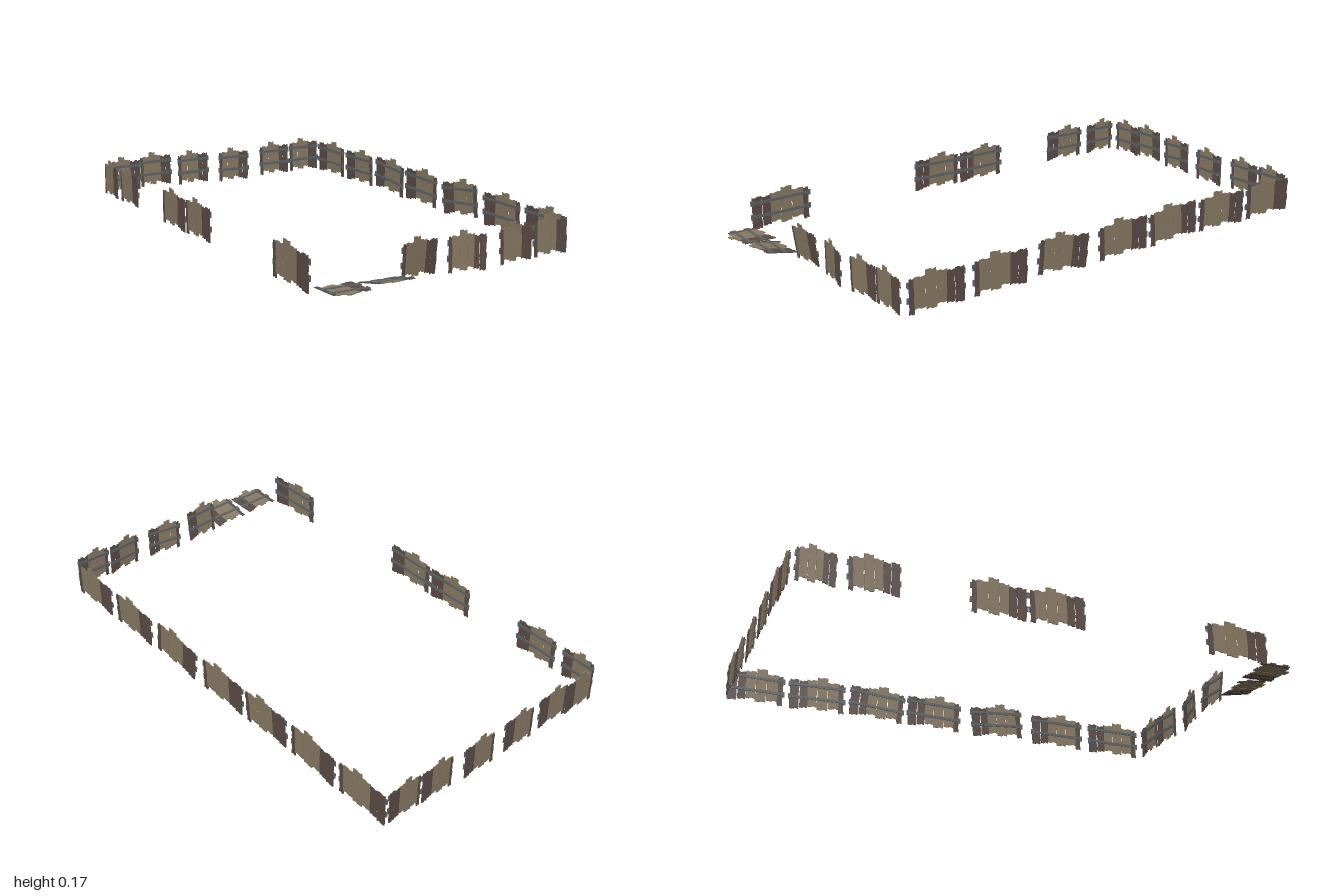
import * as THREE from 'three';

const mat = (color) => new THREE.MeshStandardMaterial({ color, flatShading: true });

// seeded wobble for the worn plank edges
let seed = 7;
const wobble = (a) => {
  seed = (seed * 16807) % 2147483647;
  return (seed / 2147483647 - 0.5) * 2 * a;
};

// planks of one panel: left, right, bottom, top, dark?
const PLANKS = [
  [-0.073, -0.059, 0.010, 0.140, true],
  [-0.061, -0.030, 0.026, 0.143, false],
  [-0.029, -0.001, 0.016, 0.161, false],
  [0.000, 0.026, 0.026, 0.146, false],
  [0.026, 0.047, 0.018, 0.138, true],
  [0.049, 0.073, 0.010, 0.141, true],
];
const RAILS = [0.062, 0.118];

// board with uneven sides and notched ends
function plankGeometry([l, r, b, t]) {
  const w = r - l, h = t - b, n = 6, pts = [];
  for (let i = 0; i <= n; i++) pts.push([r + wobble(0.0012), b + (h * i) / n]);
  pts.push([l + w * 0.65, t - 0.004], [l + w * 0.4, t + 0.001]);
  for (let i = n; i >= 0; i--) pts.push([l + wobble(0.0012), b + (h * i) / n]);
  pts.push([l + w * 0.35, b + 0.004], [l + w * 0.6, b - 0.001]);
  const shape = new THREE.Shape(pts.map(([x, y]) => new THREE.Vector2(x, y)));
  return new THREE.ExtrudeGeometry(shape, { depth: 0.0035, bevelEnabled: false });
}

export function createModel() {
  seed = 7;
  const root = new THREE.Group();
  root.name = 'fence';
  const light = mat(0x8a7b64), dark = mat(0x5d4d47), iron = mat(0x5d666a);
  const plankGeos = PLANKS.map(plankGeometry);
  const railGeo = new THREE.BoxGeometry(0.152, 0.011, 0.003);
  const tabGeo = new THREE.BoxGeometry(0.008, 0.022, 0.004);

  // planks face local +z, rails run along the back
  function panel(name, x, y, z, { width = 0.15, yaw = 0, lean = 0, roll = 0, flip = false }) {
    const g = new THREE.Group();
    g.name = name;
    PLANKS.forEach((p, i) => {
      const m = new THREE.Mesh(plankGeos[i], p[4] ? dark : light);
      m.name = 'plank';
      m.position.z = i % 2 ? 0.0006 : 0;
      g.add(m);
    });
    for (const ry of RAILS) {
      const rail = new THREE.Mesh(railGeo, iron);
      rail.name = 'rail';
      rail.position.set(0, ry, -0.0015);
      g.add(rail);
      for (const s of [-1, 1]) {
        const tab = new THREE.Mesh(tabGeo, iron);
        tab.name = 'railEnd';
        tab.position.set(s * 0.0735, ry, -0.001);
        g.add(tab);
      }
    }
    g.position.set(x, y, z);
    g.rotation.set(lean, yaw, roll, 'YXZ');
    g.scale.set(width / 0.154, 1, flip ? -1 : 1);
    root.add(g);
  }

  // back row, planks outward
  [[-0.445, 0.004, 0], [-0.297, 0.014, 0.03], [-0.115, 0.006, 0.03],
    [0.085, 0, 0], [0.295, 0.01, 0.02], [0.45, 0.014, 0.02]].forEach(([x, y, roll]) =>
    panel('backPanel', x, y, -0.992, { roll, flip: true }));

  // front row, the first two fallen outward
  panel('fallenPanel', -0.445, 0.034, 0.843, { lean: Math.PI / 2 - 0.03 });
  panel('fallenPanel', -0.274, 0.026, 0.843, { lean: Math.PI / 2 - 0.2 });
  panel('frontPanel', -0.112, 0.006, 0.855, { yaw: 0.08, lean: 0.13, roll: 0.03 });
  panel('frontPanel', 0.085, 0, 0.866, { yaw: -0.16 });
  panel('frontPanel', 0.295, 0.008, 0.866, { yaw: 0.09, roll: 0.03 });
  panel('frontPanel', 0.45, 0.014, 0.863, { roll: 0.02 });

  // left side, a long unbroken run: z, y, roll, extra yaw
  [[0.723, 0.01, 0, 0], [0.453, 0.01, 0, 0], [0.18, 0.014, -0.1, 0.03],
    [-0.115, 0.01, 0.02, 0], [-0.37, 0.014, 0.07, -0.02], [-0.62, 0.01, -0.02, -0.02],
    [-0.877, 0.008, 0, 0]].forEach(([z, y, roll, turn]) =>
    panel('leftPanel', 0.533, y, z, { width: 0.238, yaw: Math.PI / 2 + turn, roll }));

  // right side with gaps: z, width
  [[-0.905, 0.15], [-0.695, 0.195], [-0.232, 0.22], [-0.003, 0.225], [0.738, 0.262]].forEach(([z, width], i) =>
    panel('rightPanel', -0.54, 0.006 + 0.004 * (i % 2), z, { width, yaw: -Math.PI / 2, roll: i % 2 ? 0.03 : 0 }));

  return root;
}
